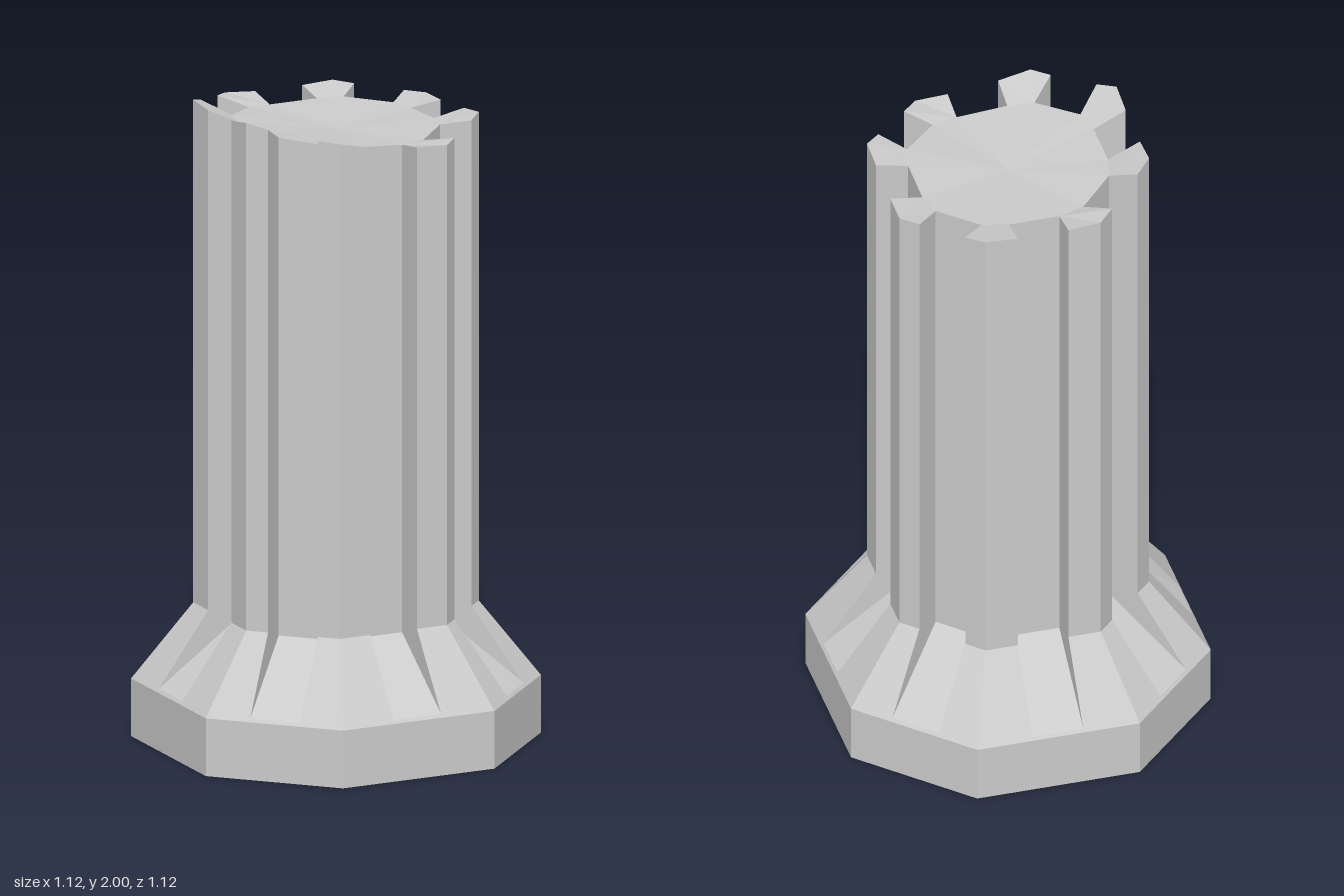
import * as THREE from 'three';

const N = 8, HALF_FLUTE = 0.079;
const BASE_Y = 0.18, SHAFT_Y = 0.415, FLOOR_Y = 0.38, END_Y = 0.19;
const BASE = { r: 0.562, half: 0.254 }, SHAFT = { r: 0.39, half: 0.18 };
// broken rim height at each rib, counterclockwise from the front
const RIM = [1.91, 1.94, 1.91, 1.925, 1.925, 1.985, 2.0, 1.955];

// point on side k: u along the side, r outwards
function at(k, u, r, y) {
  const t = k * Math.PI / 4, s = Math.sin(t), c = Math.cos(t);
  return [s * r + c * u, y, c * r - s * u];
}

// the octagons have slightly wider sides on the axes than on the diagonals
const apothem = (o, k) => (k % 2 ? (o.r + o.half) / Math.SQRT2 : o.r);
const corner = (o, k, y) => (k % 2 ? at(k + 1, -o.half, o.r, y) : at(k, o.half, o.r, y));
const innerR = (k) => (k % 2 ? 0.304 : 0.29);

// dished, uneven fracture surface
function broken([x, , z]) {
  const a = (Math.atan2(x, z) / (Math.PI / 4) - 0.5 + N) % N;
  const i = Math.floor(a), f = a - i;
  const rim = RIM[i % N] * (1 - f) + RIM[(i + 1) % N] * f;
  const w = Math.min(1, (Math.hypot(x, z) / 0.42) ** 3);
  return [x, 1.89 + (rim - 1.89) * w, z];
}

// collects flat polygons into one mesh
function makePart(name, material) {
  const pos = [];
  return {
    poly(...p) {
      for (let i = 1; i < p.length - 1; i++) pos.push(...p[0], ...p[i], ...p[i + 1]);
    },
    mesh() {
      const g = new THREE.BufferGeometry();
      g.setAttribute('position', new THREE.Float32BufferAttribute(pos, 3));
      g.computeVertexNormals();
      const m = new THREE.Mesh(g, material);
      m.name = name;
      return m;
    },
  };
}

export function createModel() {
  const material = new THREE.MeshStandardMaterial({ color: 0xcccccc, flatShading: true });
  const plinth = makePart('plinth', material);
  const flare = makePart('flaredFoot', material);
  const shaft = makePart('shaftRibs', material);
  const flutes = makePart('flutes', material);
  const top = makePart('brokenTop', material);

  // corners of one flute edge on side k; s = +1 or -1
  const edge = (k, s) => {
    const u = s * HALF_FLUTE, ro = apothem(SHAFT, k), rb = apothem(BASE, k);
    const endR = rb - (rb - ro) * (END_Y - BASE_Y) / (SHAFT_Y - BASE_Y);
    return {
      inLow: at(k, u, innerR(k), FLOOR_Y),
      inTop: broken(at(k, u, innerR(k), 0)),
      outLow: at(k, u, ro, SHAFT_Y),
      outTop: broken(at(k, u, ro, 0)),
      end: at(k, u, endR, END_Y),
      foot: at(k, u, rb, BASE_Y),
    };
  };

  const ring = [];
  for (let k = 0; k < N; k++) {
    const L = edge(k, -1), R = edge(k, 1), next = edge(k + 1, -1), nextR = edge(k + 1, 1);
    const bTop = broken(corner(SHAFT, k, 0)), bLow = corner(SHAFT, k, SHAFT_Y);
    const foot = corner(BASE, k, BASE_Y);

    // plinth side
    plinth.poly(corner(BASE, k + N - 1, 0), corner(BASE, k, 0), foot, corner(BASE, k + N - 1, BASE_Y));
    ring.push(corner(BASE, k, 0));

    // flared foot either side of the corner, and the lip below the flute
    flare.poly(R.end, R.foot, foot, bLow, R.outLow);
    flare.poly(foot, next.foot, next.end, next.outLow, bLow);
    flare.poly(L.foot, R.foot, R.end, L.end);

    // rib faces
    shaft.poly(R.outLow, bLow, bTop, R.outTop);
    shaft.poly(bLow, next.outLow, next.outTop, bTop);

    // flute back, sloping floor and side walls
    flutes.poly(L.inLow, R.inLow, R.inTop, L.inTop);
    flutes.poly(L.end, R.end, R.inLow, L.inLow);
    flutes.poly(R.inLow, R.end, R.outLow, R.outTop, R.inTop);
    flutes.poly(L.inLow, L.inTop, L.outTop, L.outLow, L.end);

    // fracture: rib end and two wedges of the core
    const centre = broken([0, 0, 0]);
    top.poly(R.inTop, R.outTop, bTop, next.outTop, next.inTop);
    top.poly(centre, R.inTop, next.inTop);
    top.poly(centre, next.inTop, nextR.inTop);
  }
  plinth.poly(...ring.reverse());

  const group = new THREE.Group();
  group.name = 'brokenColumn';
  for (const part of [plinth, flare, shaft, flutes, top]) group.add(part.mesh());
  return group;
}
